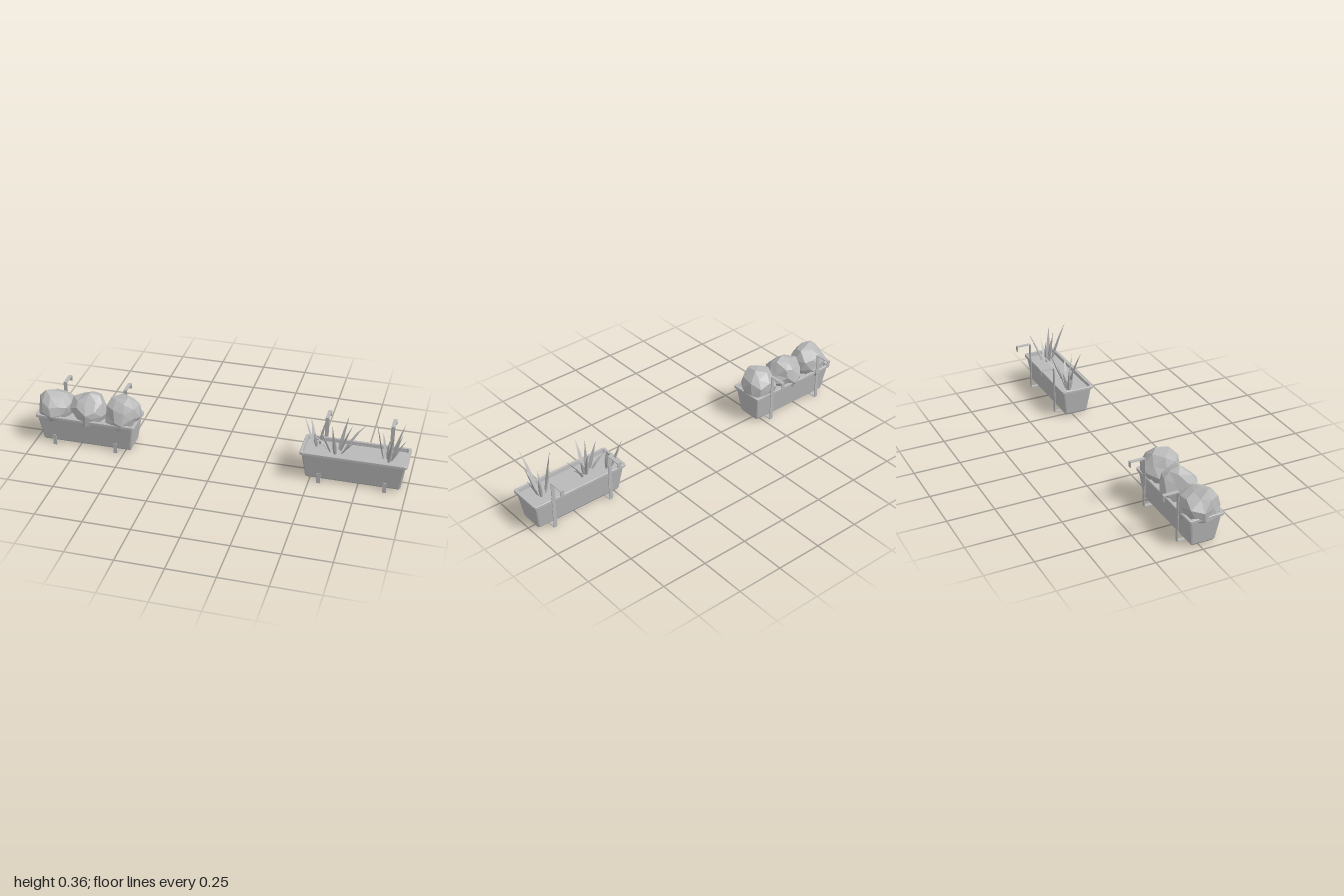
import * as THREE from 'three';

const grey = new THREE.MeshStandardMaterial({ color: 0xb8b8b8, flatShading: true, side: THREE.DoubleSide });
grey.name = 'plain grey';

function addMesh(parent, geometry, name) {
  const mesh = new THREE.Mesh(geometry, grey);
  mesh.name = name;
  parent.add(mesh);
  return mesh;
}

// Joins rings of points into a closed-loop surface, with optional end caps
function loft(rings, capStart, capEnd) {
  const n = rings[0].length, index = [];
  for (let r = 0; r < rings.length - 1; r++) {
    for (let i = 0; i < n; i++) {
      const a = r * n + i, b = r * n + (i + 1) % n;
      index.push(a, a + n, b, b, a + n, b + n);
    }
  }
  const last = (rings.length - 1) * n;
  for (let i = 1; i < n - 1; i++) {
    if (capStart) index.push(0, i, i + 1);
    if (capEnd) index.push(last, last + i + 1, last + i);
  }
  const g = new THREE.BufferGeometry().setFromPoints(rings.flat());
  g.setIndex(index);
  const flat = g.toNonIndexed();
  flat.computeVertexNormals();
  return flat;
}

// Rectangle with rounded corners at height y
function rectRing(y, hx, hz, r) {
  const points = [];
  const corners = [[1, 1], [-1, 1], [-1, -1], [1, -1]];
  corners.forEach(([sx, sz], c) => {
    for (let k = 0; k <= 2; k++) {
      const a = (c + k / 2) * Math.PI / 2;
      points.push(new THREE.Vector3(
        sx * (hx - r) + r * Math.cos(a), y, sz * (hz - r) + r * Math.sin(a)));
    }
  });
  return points;
}

// Tapered trough with a projecting rim and hollow top
function makeTrough(parent) {
  const rings = [
    [0.007, 0.242, 0.060, 0.008], [0.015, 0.247, 0.066, 0.010],
    [0.153, 0.267, 0.085, 0.010], [0.153, 0.276, 0.094, 0.012],
    [0.165, 0.276, 0.094, 0.012], [0.167, 0.274, 0.092, 0.012],
    [0.167, 0.261, 0.079, 0.008], [0.148, 0.259, 0.077, 0.008],
  ].map(p => rectRing(...p));
  addMesh(parent, loft(rings, true, false), 'trough').position.z = 0.021;
  const soil = rectRing(0.148, 0.259, 0.077, 0.008);
  addMesh(parent, loft([soil, soil], false, true), 'soil').position.z = 0.021;
}

// Bent flat strap that carries the trough and hooks over a rail
function makeBracket(parent, x) {
  const path = [[0.118, 0.057], [0.118, 0.002], [-0.078, 0.002],
    [-0.078, 0.273], [-0.157, 0.273], [-0.157, 0.245]];
  const bracket = new THREE.Group();
  bracket.name = 'bracket';
  bracket.position.x = x;
  for (let i = 0; i < path.length - 1; i++) {
    const [z0, y0] = path[i], [z1, y1] = path[i + 1];
    const strap = addMesh(bracket, new THREE.BoxGeometry(
      0.02, Math.abs(y1 - y0) + 0.0035, Math.abs(z1 - z0) + 0.0035), 'strap');
    strap.position.set(0, (y0 + y1) / 2, (z0 + z1) / 2);
  }
  parent.add(bracket);
}

// Faceted ball with uneven corners
function makeBush(parent, x, y, z, seed) {
  const g = new THREE.IcosahedronGeometry(0.1, 1);
  const pos = g.attributes.position, v = new THREE.Vector3();
  const noise = k => {
    const s = Math.sin(Math.round(v.x * 1000) * 12.99 + Math.round(v.y * 1000) * 78.23
      + Math.round(v.z * 1000) * 37.72 + seed * 5.3 + k) * 4375.85;
    return s - Math.floor(s) - 0.5;
  };
  for (let i = 0; i < pos.count; i++) {
    v.fromBufferAttribute(pos, i);
    const d = [noise(1), noise(2), noise(3)];
    pos.setXYZ(i, v.x + d[0] * 0.024, v.y + d[1] * 0.024, v.z + d[2] * 0.024);
  }
  g.rotateY(seed * 1.3);
  g.rotateX(seed * 0.7);
  g.computeVertexNormals();
  addMesh(parent, g, 'bush').position.set(x, y, z);
}

// Curved, pointed blade of triangular section
function makeBlade(parent, base, tip, width) {
  const a = new THREE.Vector3(...base), b = new THREE.Vector3(...tip);
  const mid = a.clone().lerp(b, 0.4);
  mid.y += 0.25 * Math.hypot(b.x - a.x, b.z - a.z);
  const curve = new THREE.QuadraticBezierCurve3(a, mid, b);
  const side = new THREE.Vector3(b.z - a.z, 0, a.x - b.x).normalize();
  const rings = [[0, 0.7], [0.3, 1], [0.65, 0.6], [1, 0.02]].map(([t, s]) => {
    const p = curve.getPoint(t);
    const out = new THREE.Vector3().crossVectors(side, curve.getTangent(t)).normalize();
    const h = width * s / 2;
    return [p.clone().addScaledVector(side, h), p.clone().addScaledVector(out, h * 0.8),
      p.clone().addScaledVector(side, -h)];
  });
  addMesh(parent, loft(rings, true, true), 'grassBlade');
}

function makePlanter(name, x) {
  const planter = new THREE.Group();
  planter.name = name;
  planter.position.x = x;
  makeTrough(planter);
  for (const s of [-1, 1]) makeBracket(planter, s * 0.17);
  return planter;
}

export function createModel() {
  const model = new THREE.Group();
  model.name = 'railingPlanters';

  // Planter with three clipped bushes
  const bushPlanter = makePlanter('bushPlanter', -0.714);
  makeBush(bushPlanter, -0.186, 0.185, 0.022, 1);
  makeBush(bushPlanter, 0, 0.187, 0.021, 2);
  makeBush(bushPlanter, 0.183, 0.187, 0.018, 3);

  // Planter with three tufts of grass; blade tips are listed for each tuft
  const grassPlanter = makePlanter('grassPlanter', 0.721);
  const tufts = [
    { base: [-0.205, -0.005], tips: [[-0.28, 0.29, -0.035], [-0.25, 0.275, -0.06],
      [-0.17, 0.285, -0.055], [-0.215, 0.24, 0.02]] },
    { base: [-0.1, 0.03], tips: [[-0.22, 0.22, 0.02], [-0.185, 0.28, 0.055],
      [-0.12, 0.31, 0.055], [-0.055, 0.315, -0.057], [-0.03, 0.275, -0.03],
      [0.036, 0.27, -0.07], [-0.005, 0.23, 0.06], [-0.104, 0.29, 0.117]] },
    { base: [0.165, 0.025], tips: [[0.1, 0.357, 0.038], [0.13, 0.285, 0.0],
      [0.17, 0.27, 0.05], [0.2, 0.348, 0.155], [0.235, 0.31, -0.058],
      [0.238, 0.325, 0.07], [0.25, 0.26, 0.02]] },
  ];
  for (const { base: [bx, bz], tips } of tufts) {
    tips.forEach(([tx, ty, tz], i) => makeBlade(grassPlanter,
      [bx + (tx - bx) * 0.3, 0.147, bz + (tz - bz) * 0.25], [tx, ty, tz], 0.019 + 0.003 * (i % 2)));
  }

  model.add(bushPlanter, grassPlanter);
  return model;
}
